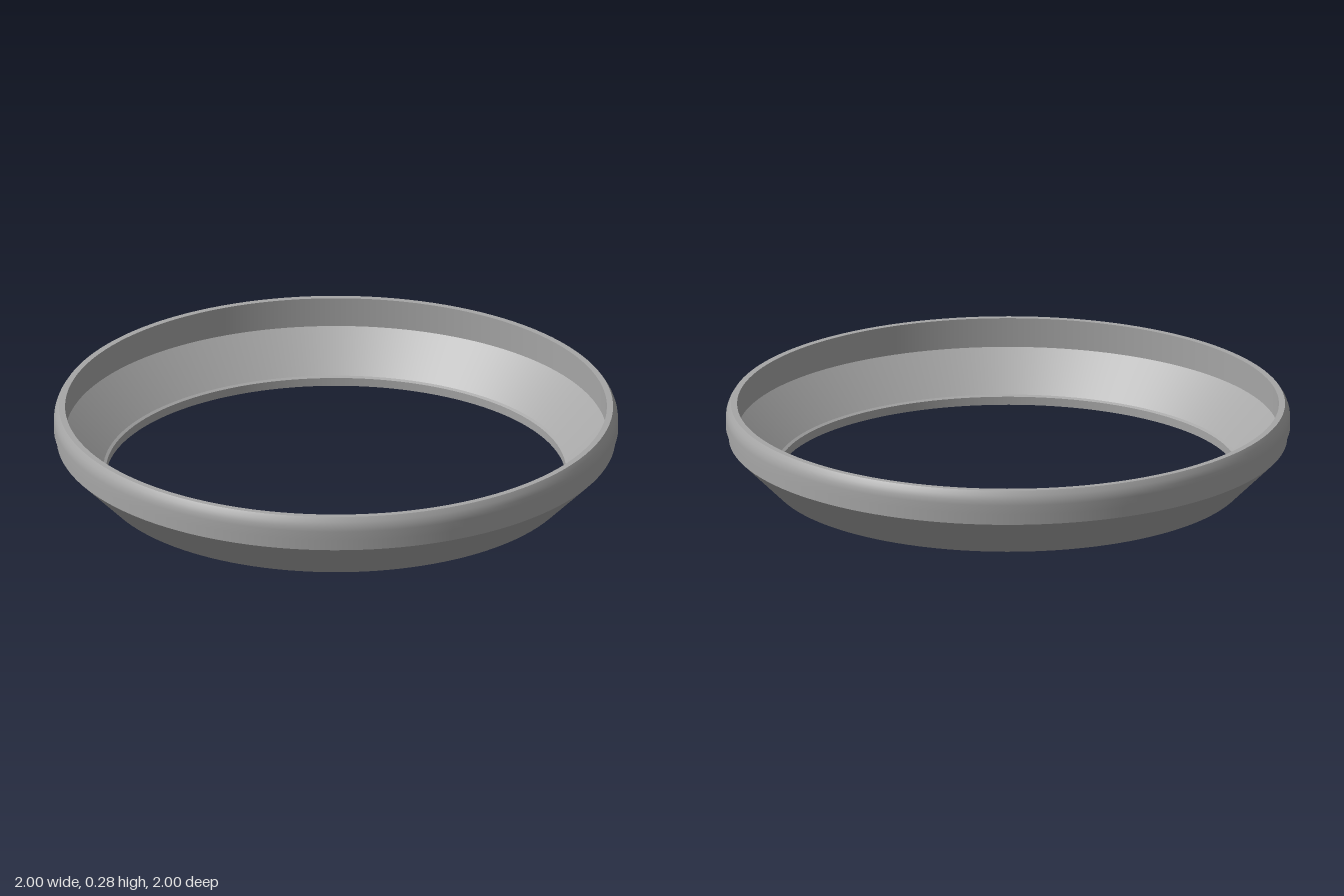
import * as THREE from 'three';

export function createModel() {
  const group = new THREE.Group();
  group.name = 'ring';
  const grey = new THREE.MeshStandardMaterial({ color: 0xa6a6a6 });
  grey.name = 'grey';

  // Each band is turned separately, so edges between bands stay sharp.
  // Profiles run up the outside, over the rim and down the inside: [radius, height].
  const bands = {
    outerCone: [[0.84, 0], [0.99, 0.15]],
    outerCollar: [[0.99, 0.15], [0.99, 0.19]],
    collarStep: [[0.99, 0.19], [1, 0.192]],
    roundedRim: [[1, 0.192], [1, 0.225], [0.998, 0.242], [0.992, 0.259], [0.982, 0.275]],
    rimTop: [[0.982, 0.275], [0.96, 0.275]],
    innerWall: [[0.96, 0.275], [0.96, 0.168]],
    innerCone: [[0.96, 0.168], [0.825, 0.035]],
    innerLedge: [[0.825, 0.035], [0.815, 0.03]],
    innerLip: [[0.815, 0.03], [0.815, 0]],
    base: [[0.815, 0], [0.84, 0]],
  };

  for (const [name, profile] of Object.entries(bands)) {
    const points = profile.map(([r, y]) => new THREE.Vector2(r, y));
    const mesh = new THREE.Mesh(new THREE.LatheGeometry(points, 128), grey);
    mesh.name = name;
    group.add(mesh);
  }
  return group;
}
